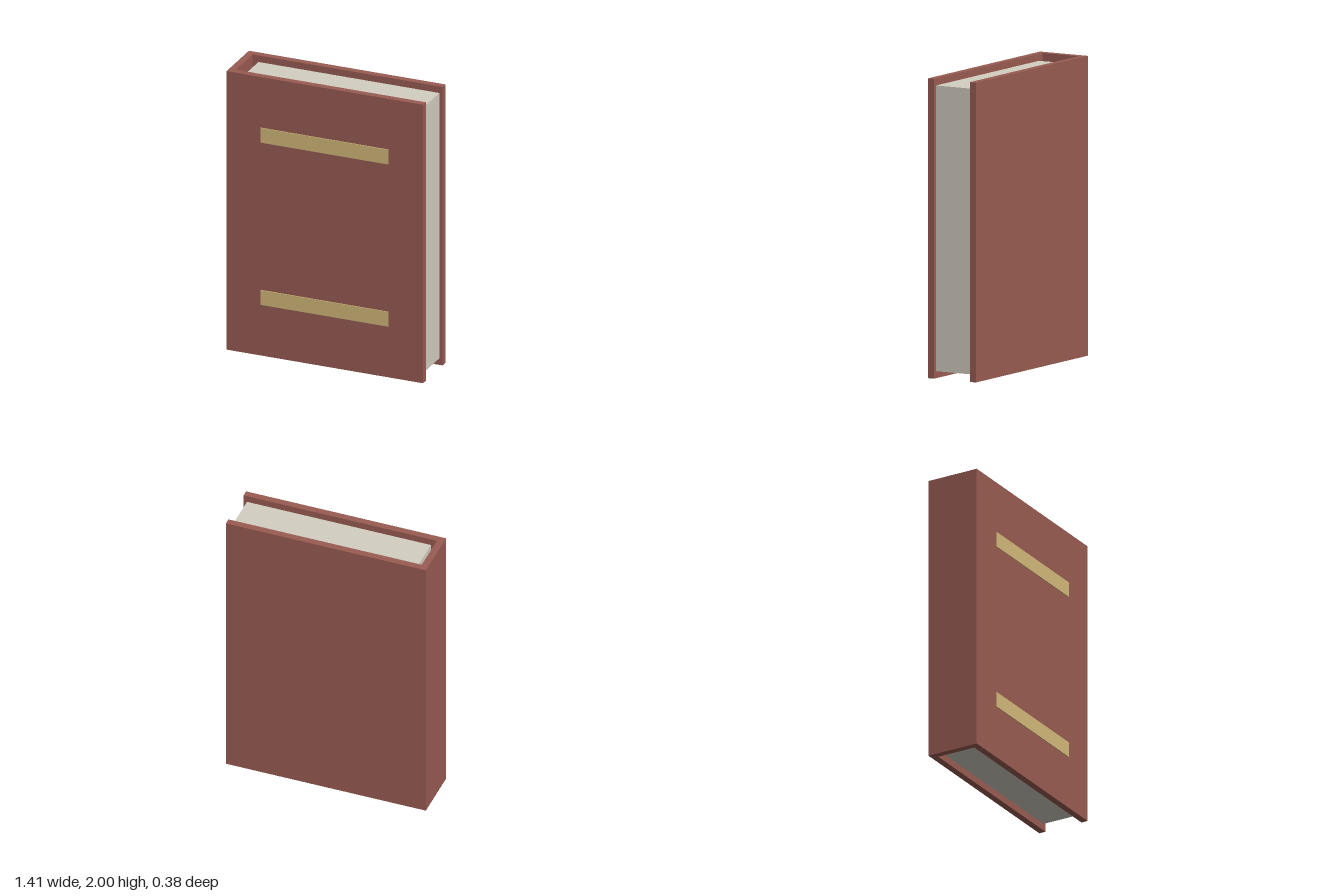
import * as THREE from 'three';

const red = new THREE.MeshStandardMaterial({ name: 'coverRed', color: 0x9a5c53 });
const paper = new THREE.MeshStandardMaterial({ name: 'paper', color: 0xd4cfc2 });
const gold = new THREE.MeshStandardMaterial({ name: 'goldFoil', color: 0xd3ba7b });

// Box given by its two extreme corners
function block(name, material, [x0, y0, z0], [x1, y1, z1]) {
  const mesh = new THREE.Mesh(new THREE.BoxGeometry(x1 - x0, y1 - y0, z1 - z0), material);
  mesh.name = name;
  mesh.position.set((x0 + x1) / 2, (y0 + y1) / 2, (z0 + z1) / 2);
  return mesh;
}

export function createModel() {
  const book = new THREE.Group();
  book.name = 'book';

  const edge = 0.707;   // half width of the boards
  const board = 0.047;  // board thickness
  const back = -0.189;
  const front = 0.183;

  // Hard case: two boards joined by a spine
  book.add(block('frontCover', red, [-edge, 0, front - board], [edge, 2, front]));
  book.add(block('backCover', red, [-edge, 0, back], [edge, 2, back + board]));
  book.add(block('spine', red, [-edge, 0, back + board], [-edge + board, 2, front - board]));

  // Pages, set in from the case edges with a gap at the spine
  book.add(block('pages', paper, [-0.618, 0.047, back + board], [0.683, 1.953, front - board]));

  // Thin foil bands on the front cover
  for (const [name, y] of [['lowerBand', 0.419], ['upperBand', 1.584]]) {
    book.add(block(name, gold, [-0.46, y - 0.053, front], [0.46, y + 0.053, front + 0.006]));
  }
  return book;
}
